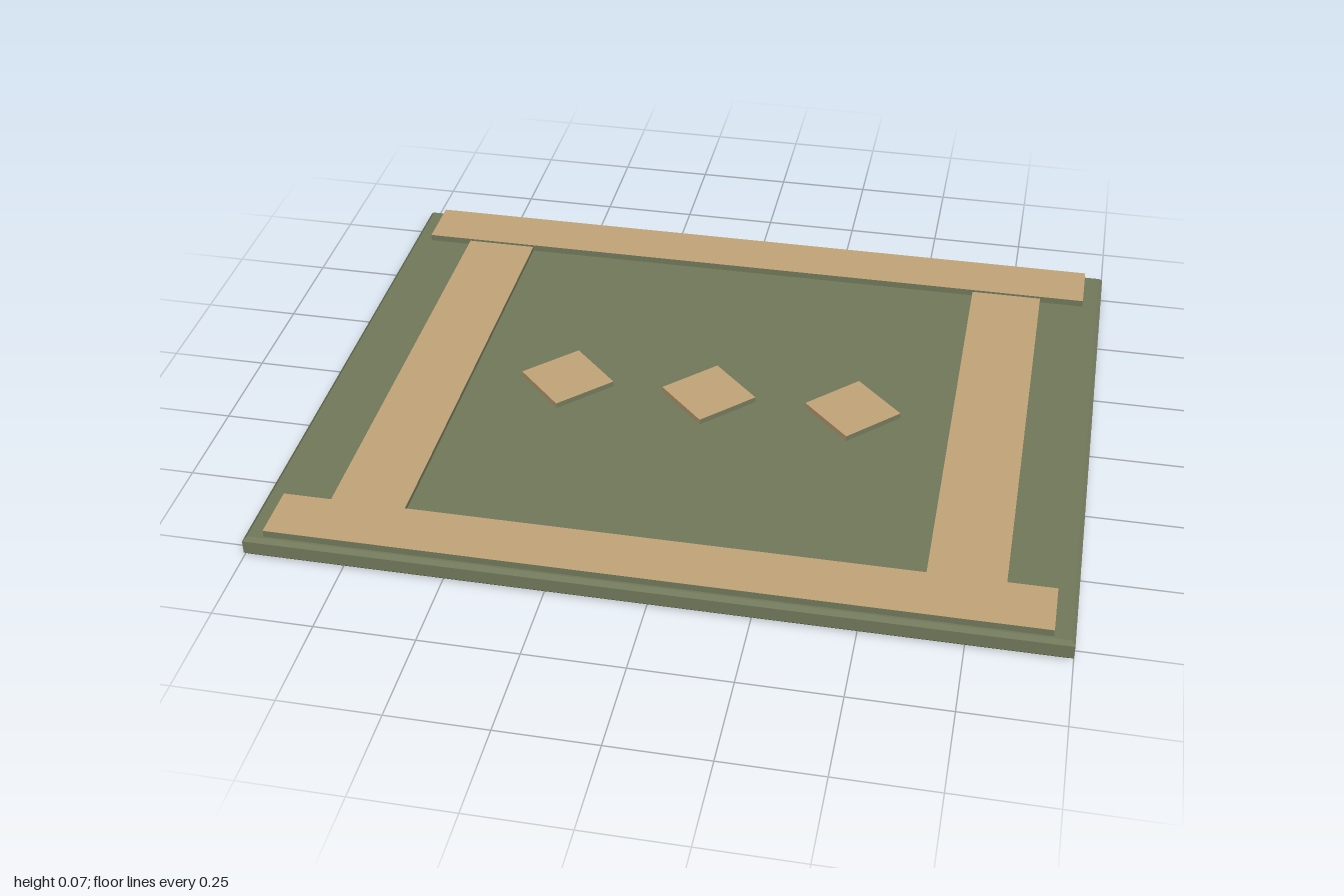
import * as THREE from 'three';

export function createModel() {
  const model = new THREE.Group();
  const green = new THREE.MeshStandardMaterial({ name: 'olive cloth', color: 0x73795b });
  const tan = new THREE.MeshStandardMaterial({ name: 'tan trim', color: 0xc3a578 });
  // Trim faces: +x, -x, +y, -y, +z, -z
  const trim = [green, tan, tan, green, green, tan];

  // Base slab with a narrow chamfer on every edge
  const W = 1, D = 0.787, H = 0.055, B = 0.01;
  const outline = new THREE.Shape([
    new THREE.Vector2(-W + B, -D + B), new THREE.Vector2(W - B, -D + B),
    new THREE.Vector2(W - B, D - B), new THREE.Vector2(-W + B, D - B),
  ]);
  const slabGeo = new THREE.ExtrudeGeometry(outline, {
    depth: H - 2 * B, bevelEnabled: true, bevelSize: B, bevelThickness: B, bevelSegments: 1,
  });
  slabGeo.rotateX(-Math.PI / 2).translate(0, B, 0);
  const slab = new THREE.Mesh(slabGeo, green);
  slab.name = 'baseSlab';
  model.add(slab);

  // Raised trim block resting on the slab
  function block(name, w, d, top, x, z, turn = 0) {
    const h = top - H + 0.005;
    const mesh = new THREE.Mesh(new THREE.BoxGeometry(w, h, d), trim);
    mesh.name = name;
    mesh.position.set(x, top - h / 2, z);
    mesh.rotation.y = turn;
    model.add(mesh);
  }

  // Border bands, the long ones standing slightly higher
  for (const s of [-1, 1]) {
    block(s > 0 ? 'frontBand' : 'backBand', 1.9, 0.148, 0.073, 0, s * 0.697);
    block(s > 0 ? 'leftBand' : 'rightBand', 0.19, 1.25, 0.067, s * 0.736, 0);
  }

  // Row of diamonds
  for (const i of [-1, 0, 1]) {
    block('diamond' + (i + 2), 0.177, 0.177, 0.07, i * 0.383, 0, Math.PI / 4);
  }
  return model;
}
